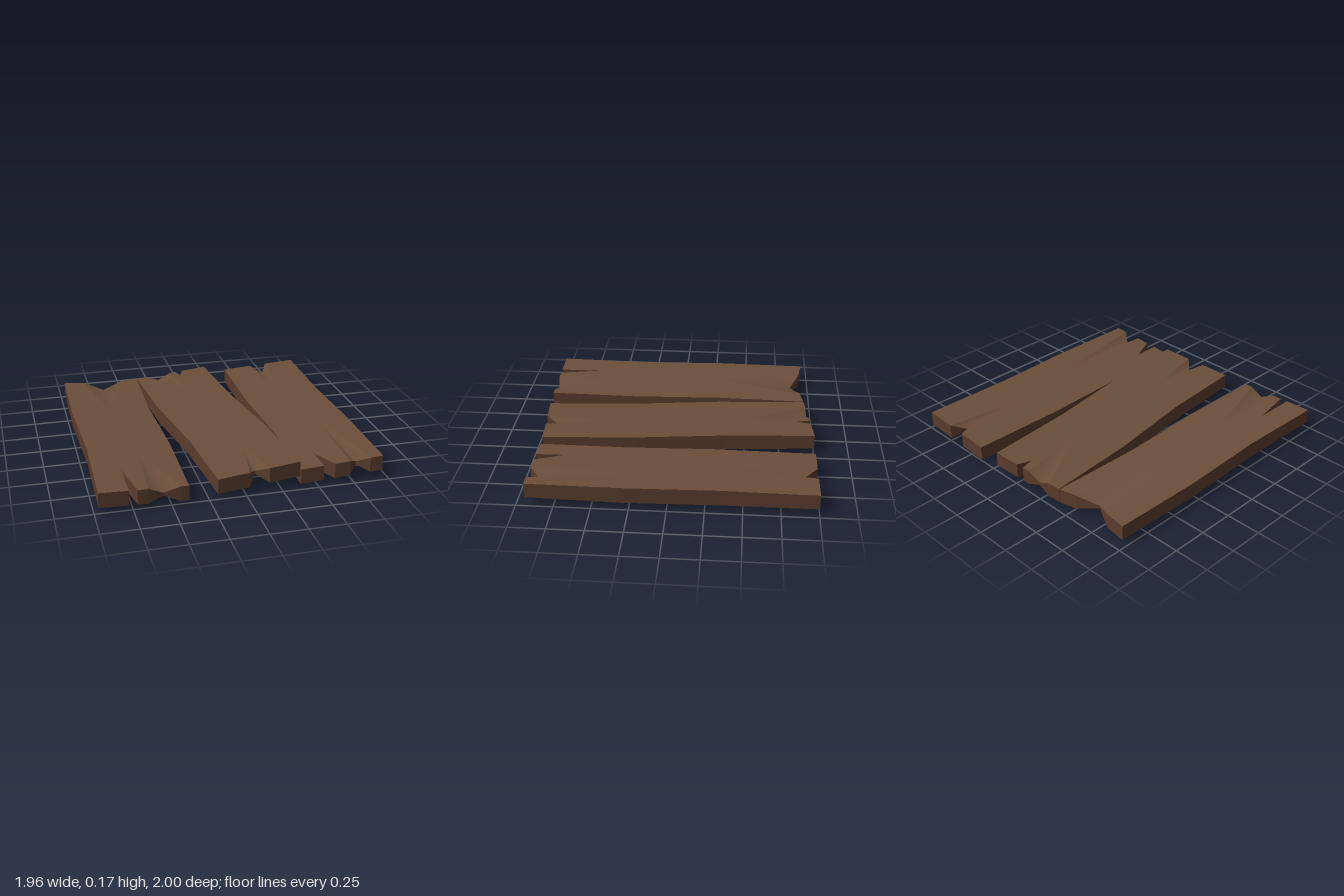
import * as THREE from 'three';

const faceWood = new THREE.MeshStandardMaterial({ color: 0x6b4f3a, side: THREE.DoubleSide });
const edgeWood = new THREE.MeshStandardMaterial({ color: 0x5a3c2c, side: THREE.DoubleSide });
const THICKNESS = 0.105, DENT = 0.043, SAG = 0.01;

// Outlines run clockwise seen from above as [x, z].
// A point [x, z, tipX, tipZ] is a crack: pinched at the rim, fading out at its tip.
const planks = [
  {
    name: 'rightPlank', centre: -0.68, height: 0.135, tilt: -0.035,
    outline: [
      [-0.97, -0.945], [-0.81, -0.92], [-0.67, -0.85, -0.69, -0.32], [-0.51, -0.92], [-0.385, -0.945],
      [-0.4, -0.3], [-0.375, 0.35], [-0.385, 1],
      [-0.44, 1], [-0.55, 0.985, -0.62, 0.44], [-0.65, 1], [-0.72, 1], [-0.775, 0.7], [-0.775, 1], [-0.97, 1],
      [-0.955, 0.35], [-0.98, -0.3],
    ],
  },
  {
    name: 'middlePlank', centre: 0, height: 0.147, tilt: 0.06,
    outline: [
      [-0.38, -0.945], [-0.29, -0.955], [-0.2, -0.96, -0.03, -0.5], [-0.1, -0.97],
      [-0.05, -0.975], [-0.025, -0.88], [0.005, -0.98], [0.2, -1],
      [0.25, -0.36], [0.335, 0.27], [0.385, 0.93],
      [0.17, 0.95], [0.09, 0.87, 0.09, 0.56], [0.03, 0.965], [-0.19, 0.985],
      [-0.235, 0.36], [-0.33, -0.3],
    ],
  },
  {
    name: 'leftPlank', centre: 0.68, height: 0.135, tilt: 0.06,
    outline: [
      [0.38, -1], [0.6, -1], [0.68, -0.9, 0.66, -0.36], [0.735, -1], [0.965, -1],
      [0.955, -0.35], [0.975, 0.3], [0.97, 0.945],
      [0.88, 0.945], [0.8, 0.88, 0.755, 0.13], [0.735, 0.945],
      [0.63, 0.945], [0.545, 0.75], [0.55, 0.945], [0.39, 0.945],
      [0.395, 0.35], [0.37, -0.3],
    ],
  },
];

// Collects patches; each owns its vertices, so it is smooth inside and sharp at its rim.
function patchMesh(name, material, patches) {
  const positions = [], index = [];
  for (const { points, triangles } of patches) {
    const start = positions.length / 3;
    points.forEach((p) => positions.push(...p));
    triangles.forEach((t) => index.push(...t.map((i) => i + start)));
  }
  const geometry = new THREE.BufferGeometry();
  geometry.setAttribute('position', new THREE.Float32BufferAttribute(positions, 3));
  geometry.setIndex(index);
  geometry.computeVertexNormals();
  const mesh = new THREE.Mesh(geometry, material);
  mesh.name = name;
  return mesh;
}

// A plank is a shell: a cracked upper face with edge walls, open underneath.
function makePlank({ name, outline, centre, height, tilt }) {
  const top = (x, z, dent = 0) => [x, height + tilt * (x - centre) + 0.002 * z - dent, z];
  const bottom = (x, z, dent) =>
    [x, height + tilt * (x - centre) + 0.002 * z - THICKNESS - SAG * (1 - z * z) + dent, z];
  const dentAt = (p) => (p.length > 2 ? DENT : 0);

  // Flat upper face, cut back to the crack tips
  const face = outline.map(([x, z, tx = x, tz = z]) => new THREE.Vector2(tx, tz));
  const triangles = THREE.ShapeUtils.triangulateShape(face, []).map(([a, b, c]) => {
    const cross = face[b].clone().sub(face[a]).cross(face[c].clone().sub(face[a]));
    return cross < 0 ? [a, b, c] : [a, c, b];
  });
  const facePatches = [{ points: face.map((p) => top(p.x, p.y)), triangles }];
  const wallPatches = [];

  outline.forEach((p, i) => {
    const q = outline[(i + 1) % outline.length];

    // Edge wall
    wallPatches.push({
      points: [
        top(p[0], p[1], dentAt(p)), top(q[0], q[1], dentAt(q)),
        bottom(q[0], q[1], dentAt(q)), bottom(p[0], p[1], dentAt(p)),
      ],
      triangles: [[0, 1, 2], [0, 2, 3]],
    });

    // Crack valley
    if (p.length > 2) {
      const before = outline[i - 1];
      facePatches.push({
        points: [top(before[0], before[1]), top(p[0], p[1], DENT), top(q[0], q[1]), top(p[2], p[3])],
        triangles: [[0, 3, 1], [1, 3, 2]],
      });
    }
  });

  const plank = new THREE.Group();
  plank.name = name;
  plank.add(patchMesh('upperFace', faceWood, facePatches), patchMesh('edges', edgeWood, wallPatches));
  return plank;
}

export function createModel() {
  const model = new THREE.Group();
  model.name = 'brokenPlanks';
  model.add(...planks.map(makePlank));
  // Rest the lowest edge on the ground
  model.position.y = -new THREE.Box3().setFromObject(model).min.y;
  return model;
}
